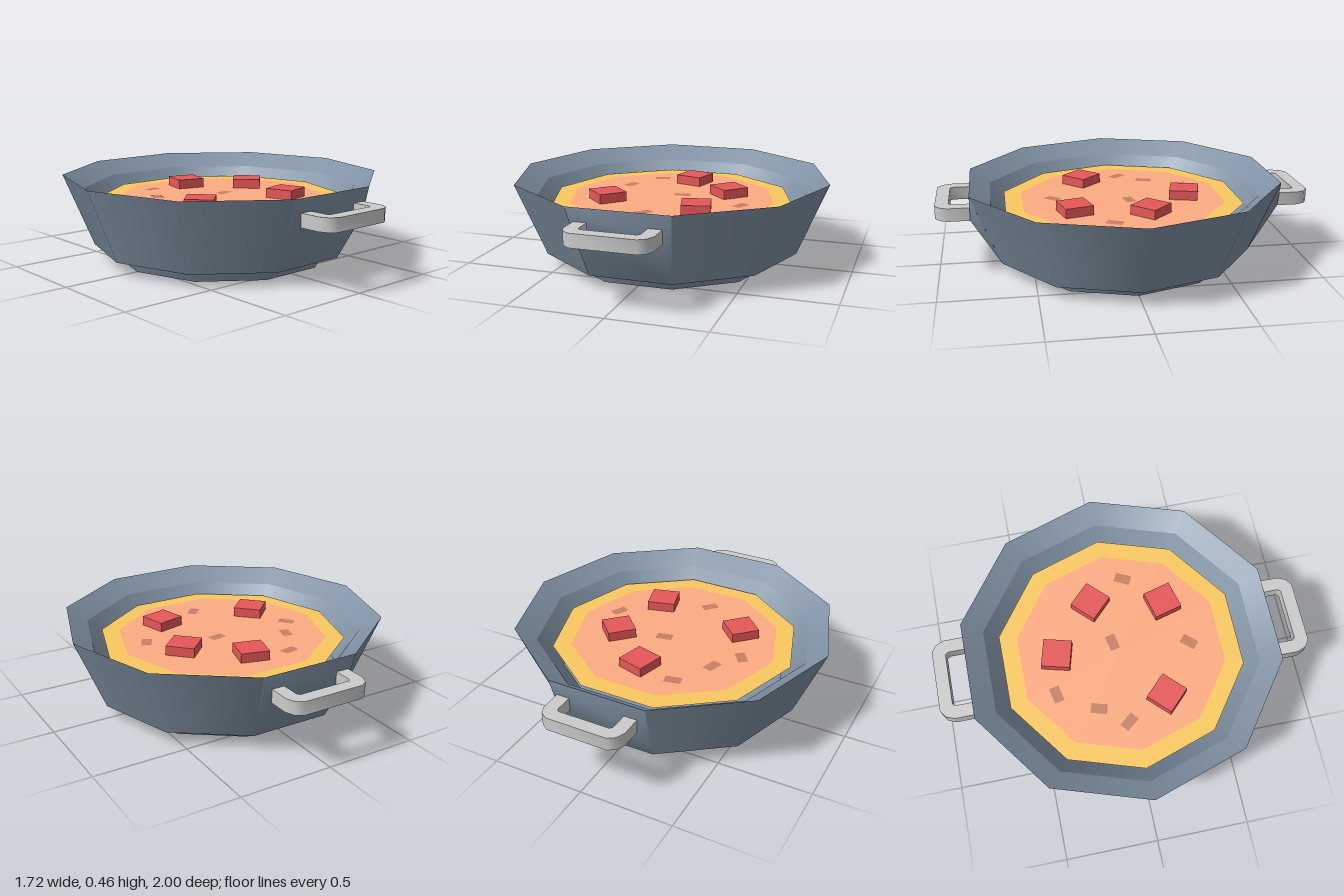
import * as THREE from 'three';
import { toCreasedNormals } from 'three/addons/utils/BufferGeometryUtils.js';

const SIDES = 10;
const paint = (color, double = false) =>
  new THREE.MeshStandardMaterial({ color, side: double ? THREE.DoubleSide : THREE.FrontSide });

export function createModel() {
  const model = new THREE.Group();
  const panMat = paint(0x8092a4, true);
  const handleMat = paint(0xcccccc);

  const add = (name, geometry, material, parent = model) => {
    const mesh = new THREE.Mesh(geometry, material);
    mesh.name = name;
    parent.add(mesh);
    return mesh;
  };

  // Ten-sided tapered band with corners on the x axis
  const band = (rTop, rBottom, y0, y1, open = true) =>
    new THREE.CylinderGeometry(rTop, rBottom, y1 - y0, SIDES, 1, open, Math.PI / 2)
      .translate(0, (y0 + y1) / 2, 0);

  // Flat ten-sided disc facing up
  const disc = (radius, y) =>
    new THREE.CircleGeometry(radius, SIDES).rotateX(-Math.PI / 2).translate(0, y, 0);

  // Pan: foot, outer wall, underside, sloping rim, inner wall and floor
  add('panFoot', band(0.61, 0.577, 0, 0.07, false), panMat);
  add('panOuterWall', band(0.862, 0.7, 0.07, 0.46), panMat);
  add('panUnderside', disc(0.7, 0.07), panMat);
  add('panInnerRim', band(0.862, 0.75, 0.385, 0.46), panMat);
  add('panInnerWall', band(0.75, 0.62, 0.21, 0.385), panMat);
  add('panFloor', disc(0.62, 0.21), panMat);

  // Food: thin crust and topping layers
  add('crust', disc(0.67, 0.335), paint(0xfac95f, true));
  add('topping', disc(0.57, 0.3365), paint(0xfdac82));

  // Red chunks: x, z, turn
  const chunkMat = paint(0xe65757);
  [[0.03, -0.345, -0.26], [0.295, -0.11, Math.PI / 4], [-0.305, 0.188, Math.PI / 4], [0.222, 0.28, 0.26]]
    .forEach(([x, z, turn]) => {
      const chunk = add('chunk', new THREE.BoxGeometry(0.154, 0.055, 0.154), chunkMat);
      chunk.position.set(x, 0.36, z);
      chunk.rotation.y = turn;
    });

  // Flat brown flecks: x, z, turn
  const fleckMat = paint(0xc88064);
  const fleckGeometry = new THREE.PlaneGeometry(0.088, 0.054).rotateX(-Math.PI / 2);
  [[-0.183, -0.385, 0.2], [-0.305, -0.178, 1.28], [-0.408, -0.035, -0.9],
    [0.05, -0.035, 0.2], [0.412, 0.095, 1.1], [-0.03, 0.375, 0.83]]
    .forEach(([x, z, turn]) => {
      const fleck = add('fleck', fleckGeometry, fleckMat);
      fleck.position.set(x, 0.338, z);
      fleck.rotation.y = turn;
    });

  // Flat U-shaped handle outline with softened corners
  const inner = [[0.152, 0.79], [0.152, 0.915], [0.14, 0.93]];
  const outer = [[0.165, 1], [0.203, 0.975], [0.222, 0.93], [0.222, 0.79]];
  const mirror = (points) => points.map(([x, z]) => [-x, z]).reverse();
  const outline = [...outer, ...inner, ...mirror(inner), ...mirror(outer)];
  const handleGeometry = toCreasedNormals(new THREE.ExtrudeGeometry(
    new THREE.Shape(outline.map(([x, z]) => new THREE.Vector2(x, z))),
    { depth: 0.07, bevelEnabled: false },
  ).rotateX(Math.PI / 2).translate(0, 0.39, 0), 1);

  // Wall swelling that carries the handle
  const mountGeometry = new THREE.BufferGeometry();
  mountGeometry.setAttribute('position', new THREE.Float32BufferAttribute([
    -0.266, 0.46, 0.82, 0.266, 0.46, 0.82,
    -0.222, 0.32, 0.82, 0.222, 0.32, 0.82,
    -0.216, 0.07, 0.666, 0.216, 0.07, 0.666,
  ], 3));
  mountGeometry.setIndex([0, 2, 3, 0, 3, 1, 2, 4, 5, 2, 5, 3, 1, 3, 5, 0, 4, 2]);
  mountGeometry.computeVertexNormals();

  // Front and back handles
  [['front', 0], ['back', Math.PI]].forEach(([end, turn]) => {
    const group = new THREE.Group();
    group.name = `${end}HandleGroup`;
    group.rotation.y = turn;
    add(`${end}Handle`, handleGeometry, handleMat, group);
    add(`${end}HandleMount`, mountGeometry, panMat, group);
    model.add(group);
  });

  return model;
}
